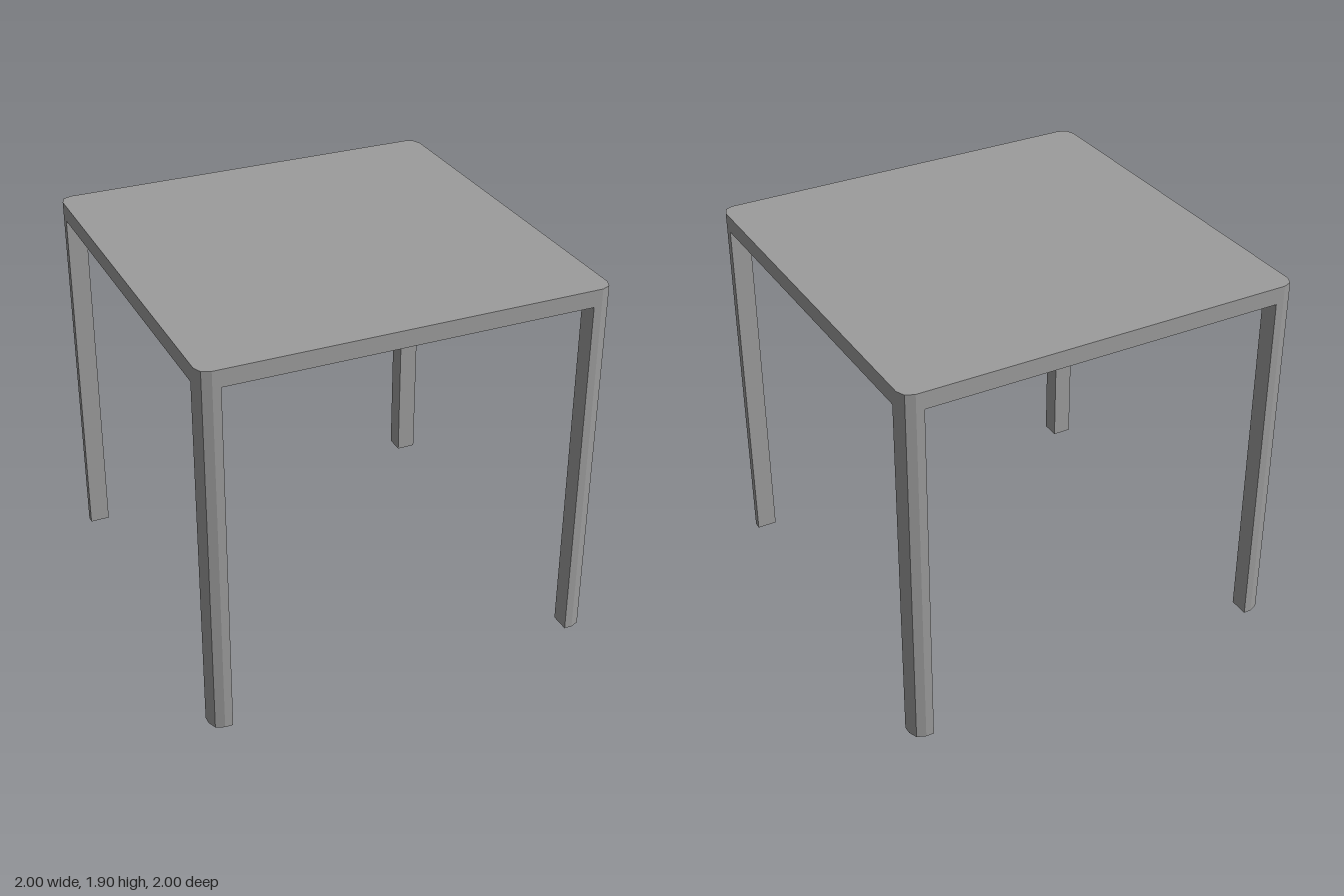
import * as THREE from 'three';

const HALF = 1;           // half width of the table
const HEIGHT = 1.9;
const TOP_THICKNESS = 0.085;
const LEG = 0.1;          // leg width
const RADIUS = 0.06;      // rounding of the outer corners, two facets each

const material = new THREE.MeshStandardMaterial({ color: 0x9c9c9c, flatShading: true });

// Three points of the faceted outer corner, turned by quarter turns
function cornerPoints(quarter) {
  const c = HALF - RADIUS;
  return [0, 1, 2].map((i) => {
    const a = (i * Math.PI) / 4;
    return new THREE.Vector2(c + RADIUS * Math.cos(a), c + RADIUS * Math.sin(a))
      .rotateAround(new THREE.Vector2(), (quarter * Math.PI) / 2);
  });
}

// Upright prism from a plan outline
function prism(name, points, bottom, height) {
  const geometry = new THREE.ExtrudeGeometry(new THREE.Shape(points), { depth: height, bevelEnabled: false });
  geometry.rotateX(-Math.PI / 2).translate(0, bottom, 0);
  const mesh = new THREE.Mesh(geometry, material);
  mesh.name = name;
  return mesh;
}

export function createModel() {
  const table = new THREE.Group();
  table.name = 'table';
  const underside = HEIGHT - TOP_THICKNESS;

  // Square top with softened corners
  const outline = [0, 1, 2, 3].flatMap(cornerPoints);
  table.add(prism('tableTop', outline, underside, TOP_THICKNESS));

  // Four legs, flush with the corners of the top
  const inner = HALF - LEG;
  const legOutline = [
    new THREE.Vector2(inner, inner),
    new THREE.Vector2(HALF, inner),
    ...cornerPoints(0),
    new THREE.Vector2(inner, HALF),
  ];
  ['backLeftLeg', 'backRightLeg', 'frontRightLeg', 'frontLeftLeg'].forEach((name, i) => {
    const leg = prism(name, legOutline, 0, underside);
    leg.rotation.y = (i * Math.PI) / 2;
    table.add(leg);
  });

  return table;
}
